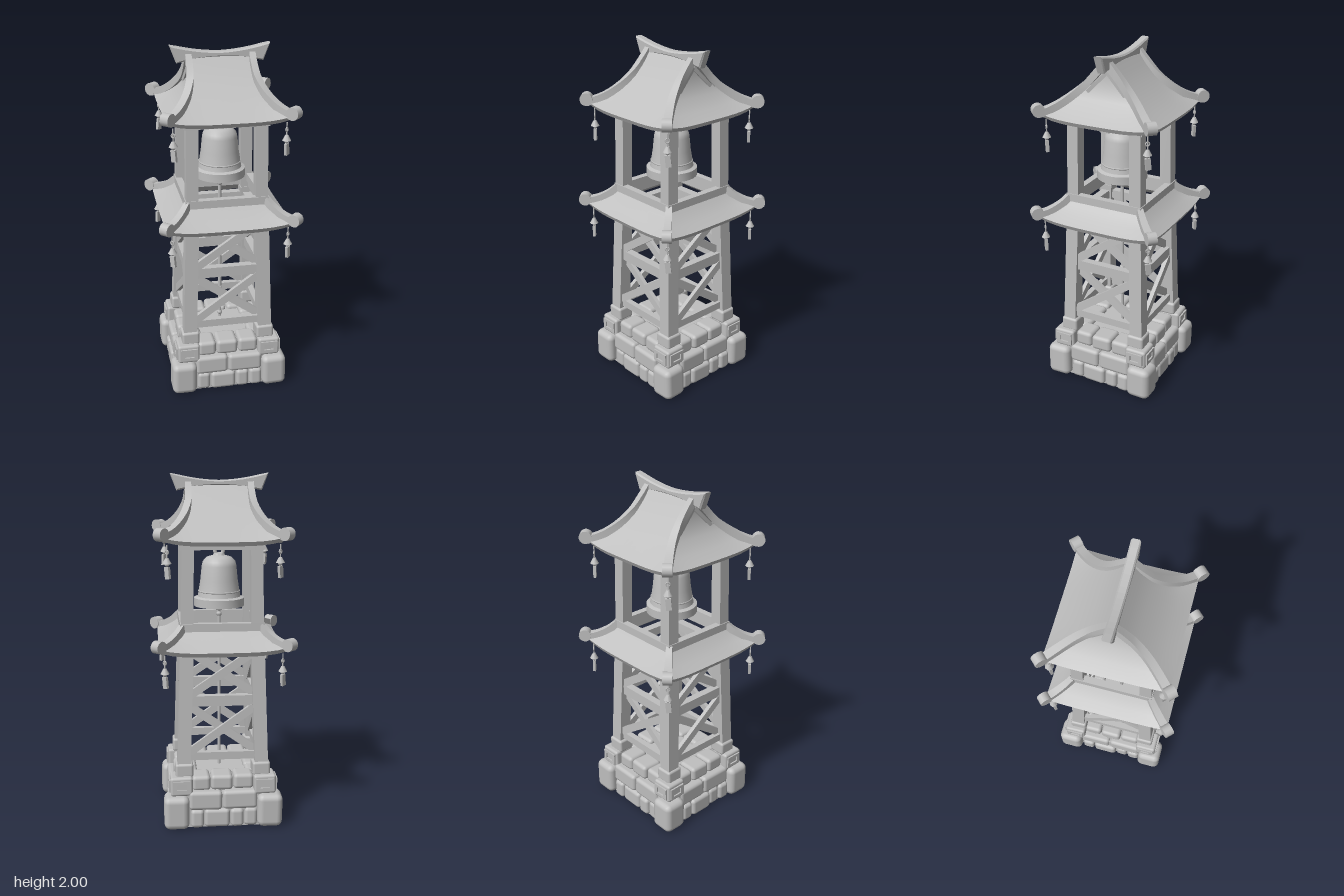
import * as THREE from 'three';
import { toCreasedNormals } from 'three/addons/utils/BufferGeometryUtils.js';
import { RoundedBoxGeometry } from 'three/addons/geometries/RoundedBoxGeometry.js';

const V = (x, y, z) => new THREE.Vector3(x, y, z);
const UP = V(0, 1, 0);
const CORNERS = [[1, 1], [1, -1], [-1, -1], [-1, 1]];

export function createModel() {
  const model = new THREE.Group();
  model.name = 'bellTower';
  const grey = new THREE.MeshStandardMaterial({ color: 0xbfbfbf });
  grey.name = 'plain grey';

  let seed = 7;
  const rand = () => ((seed = (seed * 16807) % 2147483647) / 2147483647) - 0.5;

  function add(parent, geo, name, x = 0, y = 0, z = 0) {
    const m = new THREE.Mesh(geo, grey);
    m.name = name;
    m.position.set(x, y, z);
    parent.add(m);
    return m;
  }
  function group(name, parent = model) {
    const g = new THREE.Group();
    g.name = name;
    parent.add(g);
    return g;
  }
  // Lays a y-aligned geometry of unit length between two points
  function span(parent, geo, name, a, b) {
    const d = b.clone().sub(a);
    const m = add(parent, geo, name);
    m.position.copy(a).addScaledVector(d, 0.5);
    m.scale.y = d.length();
    m.quaternion.setFromUnitVectors(UP, d.normalize());
    return m;
  }
  const beam = (parent, name, a, b, w, d) => span(parent, new THREE.BoxGeometry(w, 1, d), name, a, b);
  function stone(parent, name, x0, x1, y0, y1, z0, z1, r = 0.022) {
    const g = new RoundedBoxGeometry(x1 - x0, y1 - y0, z1 - z0, 2, r);
    const m = add(parent, g, name, (x0 + x1) / 2, (y0 + y1) / 2, (z0 + z1) / 2);
    m.rotation.set(rand() * 0.04, rand() * 0.05, rand() * 0.04);
    return m;
  }
  function indexed(pos, idx, angle) {
    const g = new THREE.BufferGeometry();
    g.setAttribute('position', new THREE.Float32BufferAttribute(pos, 3));
    g.setIndex(idx);
    g.computeVertexNormals();
    return toCreasedNormals(g, angle);
  }
  // Four-sided roof shell; rows are [half width x, half depth z, height, corner lift]
  function roofShell(rows) {
    const pos = [], idx = [], N = 12;
    for (let k = 0; k < 4; k++) {
      const base = pos.length / 3;
      for (const [hx, hz, y, lift] of rows) {
        for (let j = 0; j <= N; j++) {
          const t = (j / N) * 2 - 1, h = y + lift * t ** 4;
          pos.push(...[[t * hx, h, hz], [hx, h, -t * hz], [-t * hx, h, -hz], [-hx, h, t * hz]][k]);
        }
      }
      for (let i = 0; i < rows.length - 1; i++) {
        for (let j = 0; j < N; j++) {
          const a = base + i * (N + 1) + j, b = a + N + 1;
          idx.push(a, b, b + 1, a, b + 1, a + 1);
        }
      }
    }
    return indexed(pos, idx, 0.6);
  }
  // Rectangular bar swept along a curve, widening toward its end
  function sweptBar(points, w0, w1, h) {
    const curve = new THREE.CatmullRomCurve3(points), N = 14, pos = [], idx = [0, 3, 2, 0, 2, 1];
    for (let i = 0; i <= N; i++) {
      const p = curve.getPoint(i / N), t = curve.getTangent(i / N);
      const s = UP.clone().cross(t).normalize(), n = t.clone().cross(s);
      const w = (w0 + (w1 - w0) * (i / N)) / 2;
      for (const [a, b] of [[1, -1], [1, 1], [-1, 1], [-1, -1]]) {
        const q = p.clone().addScaledVector(s, a * w).addScaledVector(n, (b * h) / 2);
        pos.push(q.x, q.y, q.z);
      }
      if (i < N) for (let k = 0; k < 4; k++) {
        const a = i * 4 + k, b = i * 4 + ((k + 1) % 4);
        idx.push(a, b, b + 4, a, b + 4, a + 4);
      }
    }
    const e = N * 4;
    idx.push(e, e + 1, e + 2, e, e + 2, e + 3);
    return indexed(pos, idx, 0.6);
  }

  // Stone base: solid core, courses on each side, corner stones
  const base = group('stoneBase');
  add(base, new THREE.BoxGeometry(0.58, 0.2, 0.58), 'baseCore', 0, 0.105, 0);
  add(base, new THREE.BoxGeometry(0.46, 0.08, 0.46), 'baseTop', 0, 0.24, 0);
  const courses = [
    [0.005, 0.115, 0.31, [-0.19, -0.11, 0.04, 0.12, 0.2]],
    [0.11, 0.222, 0.305, [-0.2, -0.005, 0.2]],
    [0.215, 0.305, 0.27, [-0.18, -0.07, 0.06, 0.18]],
  ];
  for (let k = 0; k < 4; k++) {
    const side = group('stoneSide', base);
    side.rotation.y = (k * Math.PI) / 2;
    for (const [y0, y1, z, xs] of courses)
      for (let i = 0; i < xs.length - 1; i++)
        stone(side, 'wallStone', xs[i] + 0.002, xs[i + 1] - 0.002, y0, y1, z - 0.13, z + rand() * 0.012);
  }
  const frame = new THREE.Shape([[-0.05, -0.035], [0.05, -0.035], [0.05, 0.035], [-0.05, 0.035]].map(p => new THREE.Vector2(...p)));
  frame.holes.push(new THREE.Path([[-0.028, -0.018], [-0.028, 0.018], [0.028, 0.018], [0.028, -0.018]].map(p => new THREE.Vector2(...p))));
  const frameGeo = new THREE.ExtrudeGeometry(frame, { depth: 0.014, bevelEnabled: false });
  for (let k = 0; k < 4; k++) {
    const c = group('baseCorner', base);
    c.rotation.y = (k * Math.PI) / 2;
    stone(c, 'cornerStone', 0.195, 0.34, 0.005, 0.2, 0.195, 0.34, 0.035);
    stone(c, 'capStone', 0.175, 0.302, 0.198, 0.31, 0.175, 0.302, 0.015);
    stone(c, 'postFooting', 0.17, 0.272, 0.3, 0.38, 0.17, 0.272, 0.014);
    add(c, frameGeo, 'capFrame', 0.238, 0.255, 0.297);
    add(c, frameGeo, 'capFrame', 0.297, 0.255, 0.238).rotation.y = Math.PI / 2;
  }

  // Timber frame: leaning legs, upper posts, rails and cross braces
  const timber = group('timberFrame');
  const legAt = y => 0.222 - 0.035 * (y - 0.38);
  for (const [sx, sz] of CORNERS) {
    const at = (y, o = 0) => V(sx * (legAt(y) + o), y, sz * (legAt(y) + o));
    beam(timber, 'leg', at(0.36), at(1.1), 0.076, 0.076);
    beam(timber, 'upperPost', at(1.08), at(1.65, 0.012), 0.068, 0.068);
  }
  for (let k = 0; k < 4; k++) {
    const side = group('frameSide', timber);
    side.rotation.y = (k * Math.PI) / 2;
    const rail = (name, y, h, d, x = legAt(y), z = legAt(y)) =>
      beam(side, name, V(-x, y, z), V(x, y, z), h, d);
    rail('lowerRail', 0.415, 0.045, 0.035);
    rail('middleRail', 0.74, 0.06, 0.045);
    rail('upperRail', 1.04, 0.05, 0.05);
    rail('roofRim', 1.163, 0.045, 0.04, 0.235, 0.215);
    rail('topPlate', 1.612, 0.04, 0.05, 0.235, 0.205);
    for (const [y0, y1] of [[0.44, 0.7], [0.77, 1.02]])
      for (const s of [-1, 1])
        beam(side, 'crossBrace', V(-s * 0.19, y0, legAt(y0) + s * 0.012), V(s * 0.18, y1, legAt(y1) + s * 0.012), 0.045, 0.024);
  }
  beam(timber, 'bellBeam', V(-0.21, 1.595, 0), V(0.21, 1.595, 0), 0.045, 0.055);

  // Corner ridge with a round end and a hanging chime
  function hips(parent, points, end, chimeX, chimeY) {
    for (const [sx, sz] of CORNERS) {
      const c = group('roofCorner', parent);
      add(c, sweptBar(points.map(([x, y, z]) => V(sx * x, y, sz * z)), 0.034, 0.046, 0.04), 'hipRidge');
      const d = V(sx, 0, -sz).normalize().multiplyScalar(0.026);
      const p = V(sx * end[0], end[1], sz * end[0]);
      span(c, new THREE.CylinderGeometry(0.036, 0.036, 1, 14), 'ridgeEnd', p.clone().sub(d), p.clone().add(d));
      const h = group('chime', c);
      h.position.set(sx * chimeX, chimeY, sz * chimeX);
      h.rotation.y = Math.atan2(sx, sz);
      add(h, new THREE.CylinderGeometry(0.004, 0.004, 0.13, 6), 'chimeCord', 0, -0.035, 0);
      add(h, new THREE.TorusGeometry(0.011, 0.004, 6, 10), 'chimeRing', 0, -0.01, 0);
      add(h, new THREE.CylinderGeometry(0.009, 0.025, 0.03, 8), 'chimeCap', 0, -0.056, 0);
      add(h, new THREE.SphereGeometry(0.013, 8, 6), 'chimeBead', 0, -0.074, 0);
      add(h, new THREE.BoxGeometry(0.03, 0.065, 0.016), 'chimeTag', 0.003, -0.12, 0).rotation.z = 0.1;
    }
  }

  // Lower skirt roof
  const lower = group('lowerRoof');
  add(lower, roofShell([
    [0.212, 0.212, 1.165, 0], [0.25, 0.25, 1.12, 0], [0.3, 0.3, 1.078, 0.008], [0.355, 0.355, 1.045, 0.025],
    [0.342, 0.342, 1.02, 0.025], [0.28, 0.28, 1.05, 0.008], [0.205, 0.205, 1.1, 0], [0.205, 0.205, 1.165, 0],
  ]), 'lowerRoofShell');
  hips(lower, [[0.22, 1.165, 0.22], [0.255, 1.125, 0.255], [0.305, 1.09, 0.305], [0.355, 1.075, 0.355]], [0.357, 1.085], 0.325, 1.0);

  // Upper gabled roof
  const upper = group('upperRoof');
  add(upper, roofShell([
    [0.165, 0.01, 1.95, 0], [0.165, 0.06, 1.88, 0], [0.172, 0.12, 1.81, 0], [0.205, 0.19, 1.745, 0],
    [0.265, 0.262, 1.685, 0.006], [0.33, 0.33, 1.643, 0.025], [0.318, 0.318, 1.62, 0.025],
    [0.25, 0.245, 1.655, 0.006], [0.18, 0.165, 1.725, 0], [0.15, 0.09, 1.81, 0], [0.145, 0.005, 1.92, 0],
  ]), 'upperRoofShell');
  hips(upper, [[0.176, 1.945, 0.006], [0.176, 1.885, 0.06], [0.184, 1.82, 0.12], [0.215, 1.757, 0.19],
    [0.268, 1.702, 0.262], [0.332, 1.668, 0.33]], [0.335, 1.685], 0.305, 1.6);
  // Gable trim chevrons
  for (const sx of [-1, 1]) for (const sz of [-1, 1])
    beam(upper, 'gableTrim', V(sx * 0.168, 1.895, 0), V(sx * 0.182, 1.78, sz * 0.115), 0.02, 0.02);

  // Curved top ridge
  const ridge = new THREE.Shape();
  ridge.moveTo(-0.235, 1.912);
  ridge.quadraticCurveTo(-0.12, 1.938, 0, 1.938);
  ridge.quadraticCurveTo(0.12, 1.938, 0.235, 1.912);
  ridge.lineTo(0.268, 1.992);
  ridge.quadraticCurveTo(0.13, 1.955, 0, 1.952);
  ridge.quadraticCurveTo(-0.13, 1.955, -0.268, 1.992);
  ridge.closePath();
  add(upper, new THREE.ExtrudeGeometry(ridge, { depth: 0.036, bevelThickness: 0.008, bevelSize: 0.008, bevelSegments: 1, curveSegments: 8 }), 'topRidge', 0, 0, -0.018);

  // Bell with clapper and pull rope
  const bell = group('bell');
  const profile = [[0, 1.3], [0.1, 1.3], [0.125, 1.25], [0.145, 1.25], [0.145, 1.297], [0.124, 1.305], [0.12, 1.325], [0.108, 1.4],
    [0.1, 1.48], [0.094, 1.505], [0.07, 1.53], [0.035, 1.54], [0.03, 1.552], [0, 1.552]];
  add(bell, toCreasedNormals(new THREE.LatheGeometry(profile.map(p => new THREE.Vector2(...p)), 28), 0.6), 'bellBody');
  add(bell, new THREE.TorusGeometry(0.117, 0.005, 6, 28), 'bellBand', 0, 1.335, 0).rotation.x = Math.PI / 2;
  add(bell, new THREE.TorusGeometry(0.024, 0.011, 8, 14), 'bellLoop', 0, 1.565, 0);
  add(bell, new THREE.CylinderGeometry(0.014, 0.014, 0.1, 8), 'clapperRod', 0, 1.28, 0);
  add(bell, new THREE.SphereGeometry(0.034, 14, 8), 'clapper', 0, 1.238, 0).scale.y = 0.55;
  add(bell, new THREE.CylinderGeometry(0.01, 0.01, 0.95, 8), 'rope', 0, 0.755, 0);
  for (const y of [1.2, 1.0, 0.86, 0.66, 0.52, 0.49, 0.35])
    add(bell, new THREE.SphereGeometry(0.016, 8, 6), 'ropeKnot', 0, y, 0);

  return model;
}
